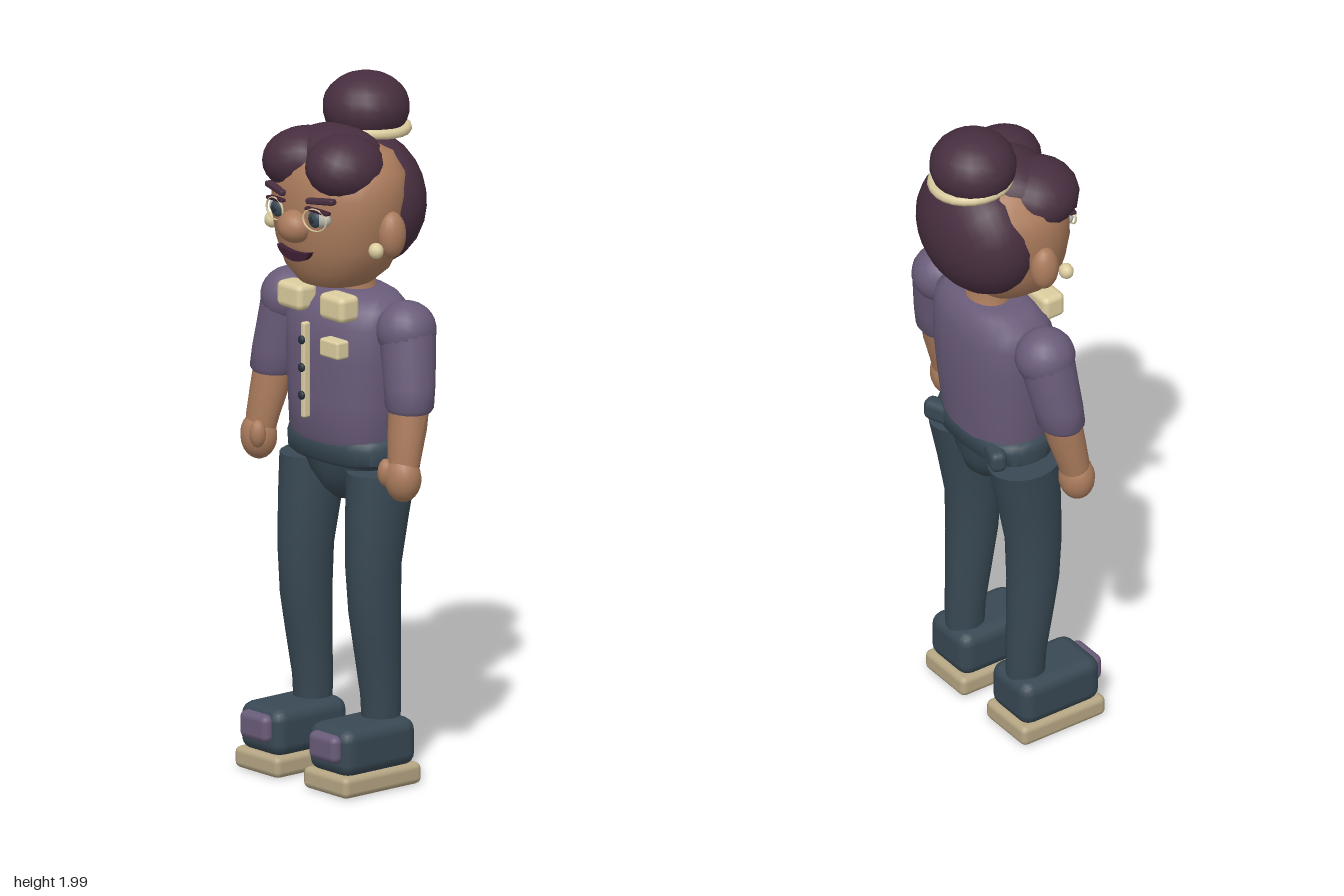
import * as THREE from 'three';
import { toCreasedNormals } from 'three/addons/utils/BufferGeometryUtils.js';
import { RoundedBoxGeometry } from 'three/addons/geometries/RoundedBoxGeometry.js';

const mat = (name, color) => {
  const m = new THREE.MeshStandardMaterial({ color });
  m.name = name;
  return m;
};

export function createModel() {
  const hair = mat('plum hair', 0x472e3f);
  const skin = mat('warm skin', 0xaa7b5c);
  const shirt = mat('mauve shirt', 0x6a5c7a);
  const denim = mat('slate denim', 0x384853);
  const cream = mat('cream trim', 0xdccd9f);
  const sole = mat('tan sole', 0xb5a583);
  const eyeWhite = mat('eye grey', 0xb8b6ae);
  const lips = mat('dark lips', 0x3e2033);
  const navy = mat('dark navy', 0x27303c);

  const root = new THREE.Group();
  root.name = 'figure';
  const add = (name, geo, material, pos = [0, 0, 0], rot = [0, 0, 0]) => {
    const m = new THREE.Mesh(geo, material);
    m.name = name;
    m.position.set(...pos);
    m.rotation.set(...rot);
    root.add(m);
    return m;
  };
  const ball = (name, material, pos, radii, rot, seg = 18) =>
    add(name, new THREE.SphereGeometry(1, seg, Math.round(seg * 0.7)).scale(...radii), material, pos, rot);
  const box = (name, material, pos, size, r, rot) =>
    add(name, new RoundedBoxGeometry(...size, 2, r), material, pos, rot);

  // Closed loft through horizontal sections [y, cx, cz, rx, rz], listed bottom to top
  const loft = (name, material, sections, square = 1, n = 20) => {
    const first = sections[0], last = sections[sections.length - 1];
    const rings = [[...first.slice(0, 3), 0.001, 0.001], ...sections, [...last.slice(0, 3), 0.001, 0.001]];
    const p = [], idx = [];
    const pw = v => Math.sign(v) * Math.abs(v) ** square;
    rings.forEach(([y, cx, cz, rx, rz], j) => {
      for (let i = 0; i < n; i++) {
        const t = i / n * Math.PI * 2;
        p.push(cx + rx * pw(Math.cos(t)), y, cz + rz * pw(Math.sin(t)));
        if (j < rings.length - 1) {
          const a = j * n + i, b = j * n + (i + 1) % n;
          idx.push(a, a + n, b, b, a + n, b + n);
        }
      }
    });
    const g = new THREE.BufferGeometry();
    g.setAttribute('position', new THREE.Float32BufferAttribute(p, 3));
    g.setIndex(idx);
    return add(name, toCreasedNormals(g, 0.9), material);
  };

  // Head and neck
  loft('head', skin, [
    [1.42, 0, 0.03, 0.05, 0.05], [1.435, 0, 0.03, 0.1, 0.1], [1.48, 0, 0.025, 0.155, 0.135],
    [1.55, 0, 0.02, 0.19, 0.155], [1.63, 0, 0.02, 0.208, 0.163], [1.7, 0, 0.015, 0.213, 0.163],
    [1.76, 0, 0.01, 0.2, 0.155], [1.81, 0, 0, 0.15, 0.12], [1.84, 0, 0, 0.07, 0.06],
  ], 0.92, 24);
  loft('neck', skin, [[1.36, 0, -0.04, 0.085, 0.075], [1.4, 0, -0.035, 0.07, 0.06], [1.47, 0, -0.025, 0.07, 0.06]]);

  // Hair: rear shell, fringe lobes and top bun with its band
  add('backHair', new THREE.SphereGeometry(1, 22, 12, 0, Math.PI * 2, 0, Math.PI * 0.6)
    .rotateX(-Math.PI / 2).scale(0.208, 0.195, 0.15), hair, [0, 1.652, -0.07], [-0.08, 0, 0]);
  ball('fringeRight', hair, [-0.095, 1.77, 0.065], [0.117, 0.09, 0.122], [0, 0, 0.2]);
  ball('fringeLeft', hair, [0.085, 1.78, 0.07], [0.107, 0.09, 0.118], [0, 0, -0.3]);
  ball('fringeTop', hair, [-0.01, 1.79, 0.02], [0.155, 0.085, 0.115]);
  ball('bun', hair, [-0.035, 1.9, -0.11], [0.123, 0.1, 0.123]);
  add('bunBand', new THREE.TorusGeometry(0.107, 0.015, 8, 24).rotateX(Math.PI / 2), cream,
    [-0.03, 1.848, -0.115], [-0.05, 0, -0.06]);

  // Face
  ball('nose', skin, [0, 1.612, 0.182], [0.053, 0.047, 0.048]);
  const mouth = new THREE.Shape();
  mouth.moveTo(-0.068, 0.016);
  mouth.quadraticCurveTo(-0.03, 0.005, 0, 0.006);
  mouth.quadraticCurveTo(0.03, 0.005, 0.068, 0.016);
  mouth.quadraticCurveTo(0.055, -0.018, 0, -0.02);
  mouth.quadraticCurveTo(-0.055, -0.018, -0.068, 0.016);
  add('mouth', new THREE.ExtrudeGeometry(mouth, { depth: 0.018, bevelEnabled: false, curveSegments: 6 }),
    lips, [0, 1.533, 0.172]);

  for (const [side, s] of [['Left', 1], ['Right', -1]]) {
    ball('eye' + side, eyeWhite, [s * 0.085, 1.648, 0.162], [0.04, 0.027, 0.022]);
    ball('iris' + side, denim, [s * 0.08, 1.647, 0.178], [0.024, 0.024, 0.013], [0, 0, 0], 14);
    ball('pupil' + side, navy, [s * 0.08, 1.647, 0.188], [0.011, 0.011, 0.005], [0, 0, 0], 10);
    box('eyelid' + side, lips, [s * 0.088, 1.672, 0.174], [0.082, 0.01, 0.022], 0.004, [0, s * 0.15, -s * 0.08]);
    add('glassesRim' + side, new THREE.TorusGeometry(0.042, 0.003, 6, 20).scale(1, 0.75, 1), cream,
      [s * 0.085, 1.646, 0.183], [0, s * 0.15, 0]);
    box('eyebrow' + side, hair, [s * 0.095, 1.7, 0.168], [0.095, 0.017, 0.025], 0.006, [0, s * 0.2, s * 0.1]);
    ball('ear' + side, skin, [s * 0.212, 1.6, 0.008], [0.037, 0.066, 0.042]);
    ball('earring' + side, cream, [s * 0.222, 1.567, 0.075], [0.023, 0.023, 0.021], [0, 0, 0], 12);
  }

  // Shirt with collar, placket, buttons and pocket
  loft('shirt', shirt, [
    [0.95, 0, -0.015, 0.165, 0.105], [1.0, 0, -0.005, 0.178, 0.12], [1.1, 0, -0.01, 0.187, 0.127],
    [1.22, 0, -0.014, 0.196, 0.132], [1.32, 0, -0.016, 0.2, 0.13], [1.37, 0, -0.022, 0.19, 0.115],
    [1.4, 0, -0.03, 0.15, 0.09], [1.41, 0, -0.035, 0.09, 0.075],
  ], 0.8, 24);
  box('placket', cream, [0, 1.192, 0.143], [0.018, 0.275, 0.025], 0.006);
  for (const y of [1.28, 1.2, 1.12]) ball('button', navy, [0, y, 0.158], [0.013, 0.013, 0.008], [0, 0, 0], 10);
  box('chestPocket', cream, [0.11, 1.274, 0.132], [0.08, 0.052, 0.045], 0.008);

  // Trousers: waistband and seat
  loft('waistband', denim, [
    [0.918, 0, -0.01, 0.175, 0.1], [0.93, 0, -0.01, 0.193, 0.113],
    [0.97, 0, -0.01, 0.196, 0.115], [0.99, 0, -0.01, 0.19, 0.11], [1.0, 0, -0.012, 0.172, 0.1],
  ], 0.75, 24);
  loft('seat', denim, [
    [0.802, 0, -0.02, 0.035, 0.045], [0.83, 0, -0.02, 0.075, 0.075],
    [0.88, 0, -0.015, 0.125, 0.095], [0.93, 0, -0.012, 0.165, 0.1],
  ]);

  for (const [side, s] of [['Left', 1], ['Right', -1]]) {
    box('collar' + side, cream, [s * 0.09, 1.383, 0.097], [0.104, 0.075, 0.072], 0.018);

    // Arm: round shoulder, sleeve, bare forearm and fist
    ball('shoulder' + side, shirt, [s * 0.247, 1.328, -0.015], [0.084, 0.084, 0.086]);
    loft('sleeve' + side, shirt, [
      [1.108, s * 0.288, 0.01, 0.064, 0.058], [1.122, s * 0.288, 0.009, 0.073, 0.066],
      [1.18, s * 0.28, 0.002, 0.075, 0.071], [1.26, s * 0.264, -0.008, 0.078, 0.076],
      [1.33, s * 0.25, -0.015, 0.08, 0.08],
    ]);
    loft('forearm' + side, skin, [
      [0.94, s * 0.305, 0.046, 0.046, 0.04], [0.98, s * 0.302, 0.04, 0.05, 0.045],
      [1.06, s * 0.294, 0.022, 0.058, 0.053], [1.13, s * 0.288, 0.01, 0.06, 0.055],
    ]);
    ball('hand' + side, skin, [s * 0.307, 0.925, 0.05], [0.055, 0.068, 0.05]);
    ball('thumb' + side, skin, [s * 0.273, 0.94, 0.083], [0.024, 0.04, 0.024], [0, 0, 0], 12);

    // Leg, leaning slightly forward at the knee
    loft('leg' + side, denim, [
      [0.17, s * 0.145, -0.01, 0.053, 0.055], [0.26, s * 0.145, -0.008, 0.056, 0.058],
      [0.4, s * 0.146, 0.006, 0.064, 0.068], [0.5, s * 0.146, 0.015, 0.069, 0.076],
      [0.64, s * 0.144, 0.018, 0.073, 0.083], [0.78, s * 0.143, 0.003, 0.081, 0.095],
      [0.905, s * 0.142, -0.014, 0.088, 0.106],
    ]);
    box('hipPocket' + side, denim, [s * 0.125, 0.957, -0.1], [0.11, 0.065, 0.05], 0.02, [0, s * 0.35, 0]);

    // Shoe
    box('sole' + side, sole, [s * 0.146, 0.038, 0.06], [0.188, 0.062, 0.285], 0.018);
    box('shoe' + side, denim, [s * 0.146, 0.13, 0.06], [0.178, 0.14, 0.268], 0.038);
    box('toePatch' + side, shirt, [s * 0.147, 0.142, 0.193], [0.118, 0.08, 0.045], 0.02);
  }

  return root;
}
